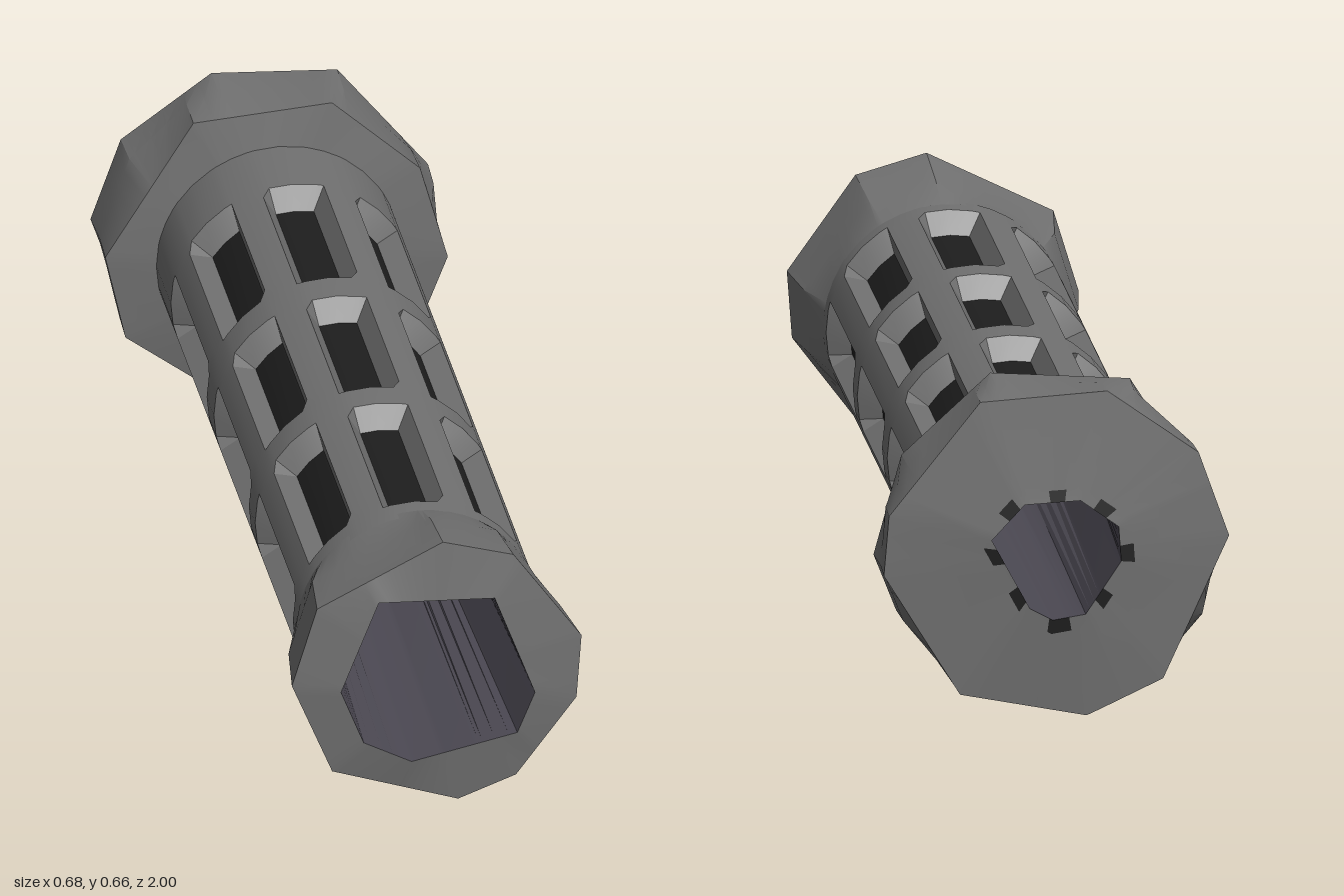
import * as THREE from 'three';
import { toCreasedNormals } from 'three/addons/utils/BufferGeometryUtils.js';

const CY = 0.335; // height of the tube axis

// Faceted outlines (x, y), counter-clockwise
const FLANGE_FRONT = [[0.34, 0.3], [0.285, 0.5], [0.11, 0.66], [-0.165, 0.64], [-0.34, 0.36], [-0.3, 0.18],
  [-0.06, 0], [0.18, 0.05], [0.295, 0.185]];
const FLANGE_BACK = [[0.34, 0.3], [0.33, 0.42], [0.15, 0.645], [-0.1, 0.66], [-0.28, 0.53], [-0.34, 0.36],
  [-0.21, 0.075], [-0.06, 0.005], [0.19, 0.055]];
const FLANGE_MIDDLE = [[0.34, 0.3], [0.33, 0.42], [0.285, 0.5], [0.15, 0.645], [0.11, 0.66], [-0.1, 0.66], [-0.165, 0.64],
  [-0.28, 0.53], [-0.34, 0.36], [-0.3, 0.18], [-0.21, 0.075], [-0.06, 0], [0.19, 0.055], [0.295, 0.185]];
const COLLAR = [[0.275, 0.26], [0.285, 0.395], [0.15, 0.585], [0.01, 0.625], [-0.24, 0.5], [-0.29, 0.335],
  [-0.21, 0.14], [0.04, 0.057], [0.155, 0.1]];
const FRONT_BORE = [[0.19, 0.285], [0.11, 0.5], [-0.12, 0.51], [-0.195, 0.32], [-0.15, 0.205], [-0.055, 0.155], [0.155, 0.2]];
const BACK_BORE = [[0.13, 0.37], [0.065, 0.44], [-0.045, 0.445], [-0.12, 0.39], [-0.125, 0.32], [-0.055, 0.215],
  [0.01, 0.205], [0.055, 0.23]];

// Tube angles: eight sectors, each with a slot floor up to +-11 deg and a bevel
const OFFSETS = [-15, -11, 0, 11, 15, 22.5];
const TUBE_ANGLES = [], TUBE_OFFSETS = [];
for (let s = 0; s < 8; s++) {
  for (const o of OFFSETS) {
    TUBE_ANGLES.push((s * 45 + o) * Math.PI / 180);
    TUBE_OFFSETS.push(o);
  }
}

// Outline angles: an even spread plus the exact corners of the given outlines
function cornerAngles(...outlines) {
  const all = Array.from({ length: 48 }, (_, i) => i * Math.PI / 24);
  for (const [x, y] of outlines.flat()) all.push((Math.atan2(y - CY, x) + 2 * Math.PI) % (2 * Math.PI));
  all.sort((p, q) => p - q);
  return all.filter((a, i) => i === 0 || a - all[i - 1] > 1e-4);
}

// Radius of an outline along a ray from the axis
function polar(outline, a) {
  const dx = Math.cos(a), dy = Math.sin(a);
  let best = 0;
  outline.forEach(([x0, y0], i) => {
    const [x1, y1] = outline[(i + 1) % outline.length];
    const ex = x1 - x0, ey = y1 - y0, px = x0, py = y0 - CY;
    const det = dx * ey - dy * ex;
    if (Math.abs(det) < 1e-9) return;
    const t = (px * ey - py * ex) / det, u = (px * dy - py * dx) / det;
    if (t > 0 && u >= -1e-6 && u <= 1 + 1e-6) best = Math.max(best, t);
  });
  return best;
}

const outlineRing = (angles, outline, z, scale = 1) =>
  angles.map((a) => {
    const r = polar(outline, a) * scale;
    return [r * Math.cos(a), r * Math.sin(a), z];
  });

const roundRing = (angles, z, radiusAt) =>
  angles.map((a, j) => [radiusAt(j) * Math.cos(a), radiusAt(j) * Math.sin(a) + 0.004, z]);

// Skin between successive rings; keep(i, j) picks the cells
function loft(rings, keep = () => true) {
  const pos = [], n = rings[0].length;
  for (let i = 0; i < rings.length - 1; i++) {
    for (let j = 0; j < n; j++) {
      if (!keep(i, j)) continue;
      const k = (j + 1) % n;
      const a = rings[i][j], b = rings[i][k], c = rings[i + 1][k], d = rings[i + 1][j];
      pos.push(...a, ...b, ...c, ...a, ...c, ...d);
    }
  }
  const g = new THREE.BufferGeometry();
  g.setAttribute('position', new THREE.Float32BufferAttribute(pos, 3));
  return toCreasedNormals(g, 0.45);
}

export function createModel() {
  const group = new THREE.Group();
  const material = (name, color) => {
    const m = new THREE.MeshStandardMaterial({ color });
    m.name = name;
    return m;
  };
  const grey = material('gunmetal grey', 0x717171);
  const black = material('slot black', 0x1e1e1e);
  const dark = material('bore dark grey', 0x4c4953);
  const add = (name, geometry, mat) => {
    const mesh = new THREE.Mesh(geometry, mat);
    mesh.name = name;
    mesh.position.y = CY;
    group.add(mesh);
  };

  // Slotted tube: three rows of eight recessed slots
  const R = 0.241, FLOOR = 0.197;
  const stations = [[-0.84, false]]; // z and whether the ring is cut by slots
  for (const [z0, z1] of [[-0.61, -0.27], [-0.13, 0.2], [0.33, 0.69]])
    stations.push([z0 - 0.03, false], [z0, true], [z1, true], [z1 + 0.03, false]);
  stations.push([0.78, false]);
  const inSlot = (i, j) => stations[i][1] && Math.abs(TUBE_OFFSETS[j % TUBE_OFFSETS.length]) <= 11;
  const tubeRings = stations.map(([z], i) => roundRing(TUBE_ANGLES, z, (j) => (inSlot(i, j) ? FLOOR : R)));
  const isFloor = (i, j) => inSlot(i, j) && inSlot(i, j + 1) && inSlot(i + 1, j);
  add('slottedTube', loft(tubeRings, (i, j) => !isFloor(i, j)), grey);
  add('slotFloors', loft(tubeRings, isFloor), black);

  // Wide faceted flange at the back, with dark notches round its hole
  const backAngles = cornerAngles(FLANGE_MIDDLE, BACK_BORE);
  const flangeRings = [
    outlineRing(backAngles, BACK_BORE, -1),
    outlineRing(backAngles, BACK_BORE, -0.997, 1.22),
    outlineRing(backAngles, FLANGE_BACK, -0.98),
    outlineRing(backAngles, FLANGE_MIDDLE, -0.9, 0.99),
    outlineRing(backAngles, FLANGE_FRONT, -0.815),
    roundRing(backAngles, -0.8, () => R - 0.01),
  ];
  const isNotch = (i, j) => {
    const sector = backAngles[j] / (Math.PI / 4) + 0.1;
    return i === 0 && Math.abs(sector - Math.round(sector)) < 0.2;
  };
  add('backFlange', loft(flangeRings, (i, j) => !isNotch(i, j)), grey);
  add('backHoleNotches', loft(flangeRings, isNotch), black);

  // Flared faceted collar at the front
  const frontAngles = cornerAngles(COLLAR, FRONT_BORE);
  add('frontCollar', loft([
    roundRing(frontAngles, 0.76, () => R),
    outlineRing(frontAngles, COLLAR, 0.85, 0.94),
    outlineRing(frontAngles, COLLAR, 0.985),
    outlineRing(frontAngles, FRONT_BORE, 1),
  ]), grey);

  // Tapering bore right through the middle
  const boreAngles = cornerAngles(FRONT_BORE, BACK_BORE);
  add('bore', loft([outlineRing(boreAngles, FRONT_BORE, 1), outlineRing(boreAngles, BACK_BORE, -1)]), dark);

  return group;
}
